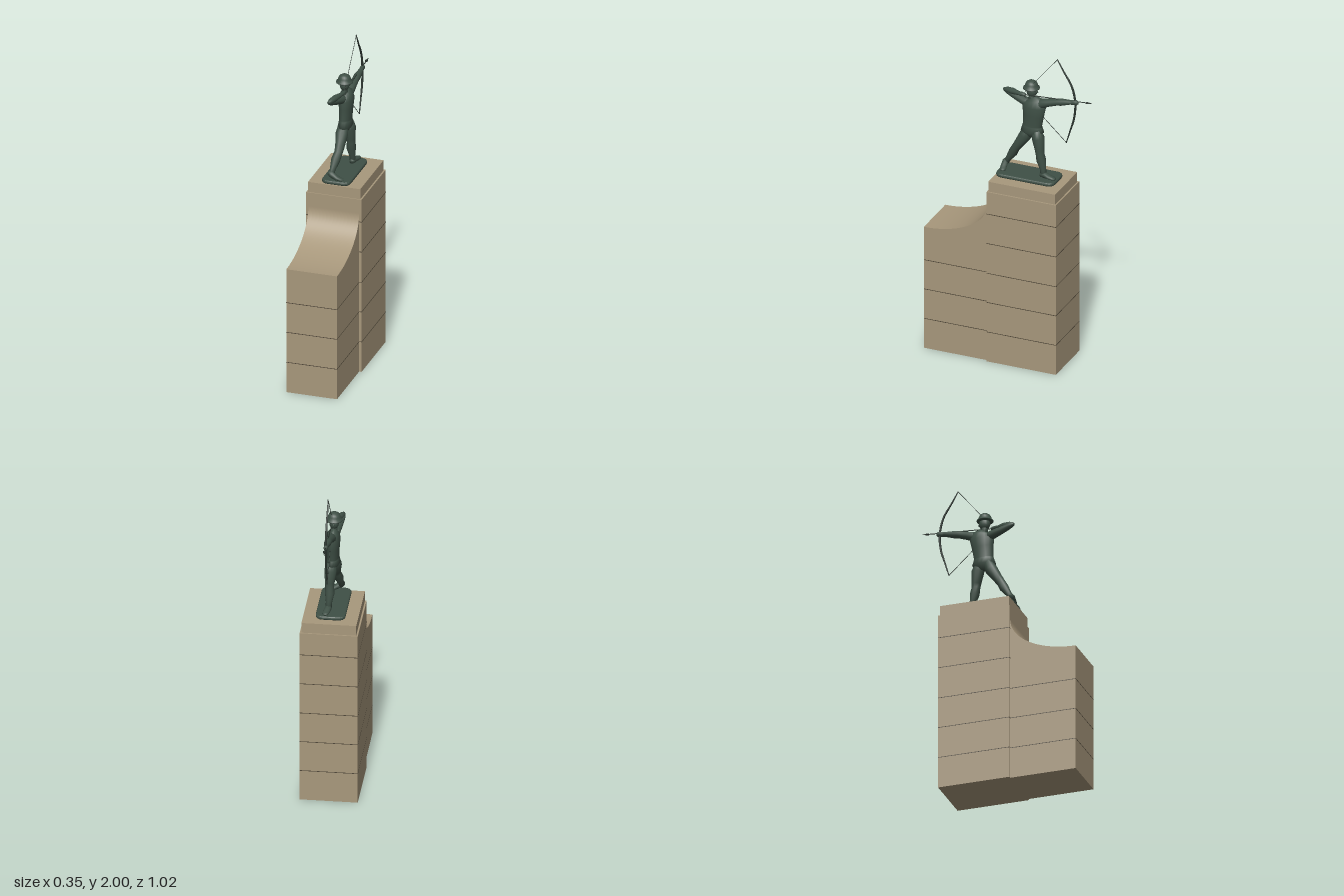
import * as THREE from 'three';

const mat = (name, color, side = THREE.FrontSide) => {
  const m = new THREE.MeshStandardMaterial({ color, side });
  m.name = name;
  return m;
};

// Skin of elliptical rings along a path; each section is [x, y, z, radius, secondRadius]
function loft(sections, ref = [1, 0, 0], sides = 12) {
  const pts = sections.map(s => new THREE.Vector3(s[0], s[1], s[2]));
  const pos = [], idx = [], n = sections.length;
  const refV = new THREE.Vector3(...ref);
  sections.forEach(([, , , r, s = r], i) => {
    const t = pts[Math.min(i + 1, n - 1)].clone().sub(pts[Math.max(i - 1, 0)]).normalize();
    const u = refV.clone().addScaledVector(t, -refV.dot(t)).normalize();
    const v = t.clone().cross(u);
    for (let j = 0; j < sides; j++) {
      const a = j / sides * Math.PI * 2;
      const p = pts[i].clone().addScaledVector(u, r * Math.cos(a)).addScaledVector(v, s * Math.sin(a));
      pos.push(p.x, p.y, p.z);
    }
  });
  pos.push(...pts[0].toArray(), ...pts[n - 1].toArray());
  for (let j = 0; j < sides; j++) {
    const k = (j + 1) % sides, last = (n - 1) * sides;
    for (let i = 0; i < n - 1; i++) {
      const a = i * sides + j, b = i * sides + k;
      idx.push(a, b, b + sides, a, b + sides, a + sides);
    }
    idx.push(n * sides, k, j, n * sides + 1, last + j, last + k);
  }
  const g = new THREE.BufferGeometry();
  g.setAttribute('position', new THREE.Float32BufferAttribute(pos, 3));
  g.setIndex(idx);
  g.computeVertexNormals();
  return g;
}

export function createModel() {
  const root = new THREE.Group();
  const stone = mat('sandstone', 0xa8987c);
  const joint = mat('mortar joint', 0x4e4638);
  const bronze = mat('green bronze', 0x3f5046);
  const dark = mat('dark bronze', 0x2b352f);

  const add = (name, geo, material, parent = root) => {
    const m = new THREE.Mesh(geo, material);
    m.name = name;
    parent.add(m);
    return m;
  };
  // Box given by half width, y range and z range
  const block = (name, hx, y0, y1, z0, z1, material, parent) =>
    add(name, new THREE.BoxGeometry(hx * 2, y1 - y0, z1 - z0), material, parent)
      .position.set(0, (y0 + y1) / 2, (z0 + z1) / 2);

  // Pedestal: tower, cap and a lower block with a concave top
  const pedestal = new THREE.Group();
  pedestal.name = 'pedestal';
  root.add(pedestal);
  block('tower', 0.173, 0, 1.12, -0.347, 0.1, stone, pedestal);
  block('cap', 0.163, 1.12, 1.185, -0.338, 0.093, stone, pedestal);
  const side = new THREE.Shape();
  side.moveTo(-0.51, 0);
  side.lineTo(-0.1, 0);
  side.lineTo(-0.1, 1.03);
  side.absellipse(-0.51, 1.03, 0.41, 0.23, 0, -Math.PI / 2, true);
  side.closePath();
  const buttress = new THREE.ExtrudeGeometry(side, { depth: 0.316, bevelEnabled: false, curveSegments: 32 });
  buttress.translate(0, 0, -0.158).rotateY(Math.PI / 2);
  add('buttress', buttress, stone, pedestal);

  // Thin joints between the stone courses
  [0.195, 0.39, 0.583, 0.78, 0.975].forEach((y, i) => {
    block('towerJoint', 0.1735, y - 0.002, y + 0.002, -0.3475, 0.1005, joint, pedestal);
    if (i < 3) block('buttressJoint', 0.1585, y - 0.002, y + 0.002, 0.09, 0.5105, joint, pedestal);
  });

  // Rounded bronze base
  const hx = 0.078, hz = 0.178, c = 0.035;
  const plan = new THREE.Shape();
  plan.moveTo(-hx + c, -hz);
  plan.lineTo(hx - c, -hz);
  plan.quadraticCurveTo(hx, -hz, hx, -hz + c);
  plan.lineTo(hx, hz - c);
  plan.quadraticCurveTo(hx, hz, hx - c, hz);
  plan.lineTo(-hx + c, hz);
  plan.quadraticCurveTo(-hx, hz, -hx, hz - c);
  plan.lineTo(-hx, -hz + c);
  plan.quadraticCurveTo(-hx, -hz, -hx + c, -hz);
  const baseGeo = new THREE.ExtrudeGeometry(plan, {
    depth: 0.004, bevelThickness: 0.01, bevelSize: 0.011, bevelSegments: 3, curveSegments: 4,
  });
  baseGeo.rotateX(-Math.PI / 2).translate(0, 1.194, -0.1);
  add('figureBase', baseGeo, bronze);

  // Archer, chest towards +x and aiming towards -z
  const archer = new THREE.Group();
  archer.name = 'archer';
  root.add(archer);
  const body = (name, sections, ref, sides) => add(name, loft(sections, ref, sides), bronze, archer);

  body('torso', [
    [0, 1.455, -0.122, 0.018, 0.03], [0, 1.49, -0.12, 0.042, 0.074], [0, 1.525, -0.121, 0.037, 0.063],
    [0, 1.53, -0.121, 0.036, 0.06], [0, 1.6, -0.128, 0.04, 0.066], [0, 1.655, -0.132, 0.045, 0.075],
    [-0.002, 1.69, -0.13, 0.036, 0.064], [-0.004, 1.708, -0.12, 0.02, 0.03],
  ], undefined, 16);
  body('neck', [[-0.004, 1.69, -0.118, 0.022], [-0.005, 1.74, -0.113, 0.019]]);

  // Head and brimmed helmet
  const head = add('head', new THREE.SphereGeometry(1, 14, 10), bronze, archer);
  head.scale.set(0.029, 0.039, 0.034);
  head.position.set(-0.005, 1.752, -0.115);
  body('nose', [[-0.005, 1.764, -0.144, 0.003], [-0.005, 1.747, -0.15, 0.006], [-0.005, 1.743, -0.144, 0.004]]);
  const hat = [[0, 1.769], [0.05, 1.769], [0.05, 1.775], [0.04, 1.782], [0.038, 1.795], [0.031, 1.809], [0.018, 1.818], [0, 1.821]];
  const helmet = add('helmet', new THREE.LatheGeometry(hat.map(p => new THREE.Vector2(...p)), 20), bronze, archer);
  helmet.position.set(-0.005, 0, -0.112);

  // Forward leg and foot
  body('frontLeg', [
    [0.008, 1.5, -0.15, 0.03], [0.01, 1.455, -0.162, 0.038], [0.014, 1.38, -0.174, 0.029], [0.015, 1.355, -0.176, 0.026],
    [0.013, 1.315, -0.183, 0.029], [0.016, 1.26, -0.196, 0.019], [0.018, 1.215, -0.2, 0.018],
  ]);
  body('frontFoot', [
    [0.017, 1.222, -0.18, 0.014, 0.014], [0.018, 1.226, -0.2, 0.02, 0.02],
    [0.025, 1.219, -0.24, 0.021, 0.013], [0.03, 1.216, -0.268, 0.019, 0.01], [0.031, 1.215, -0.28, 0.009, 0.006],
  ]);

  // Trailing leg with lifted heel
  body('rearLeg', [
    [-0.006, 1.505, -0.1, 0.03], [-0.008, 1.45, -0.072, 0.038], [-0.006, 1.385, -0.03, 0.029], [-0.008, 1.355, -0.01, 0.026],
    [-0.018, 1.315, 0.012, 0.028], [-0.026, 1.265, 0.044, 0.018], [-0.028, 1.235, 0.06, 0.016],
  ]);
  body('rearFoot', [
    [-0.044, 1.25, 0.062, 0.012], [-0.028, 1.242, 0.064, 0.02, 0.018], [0.005, 1.222, 0.062, 0.015, 0.02],
    [0.03, 1.213, 0.058, 0.011, 0.019], [0.045, 1.211, 0.055, 0.006, 0.01],
  ], [0, 1, 0]);

  // Bow arm, stretched out, with fist
  body('bowArm', [
    [0, 1.668, -0.15, 0.025], [0.004, 1.685, -0.185, 0.029], [0.007, 1.7, -0.225, 0.025], [0.008, 1.715, -0.28, 0.021],
    [0.009, 1.722, -0.31, 0.022], [0.01, 1.733, -0.37, 0.014], [0.01, 1.736, -0.385, 0.013, 0.016],
    [0.01, 1.739, -0.41, 0.013, 0.017], [0.01, 1.74, -0.42, 0.007, 0.009],
  ]);

  // Drawing arm, bent back to the elbow and forward to the hand
  body('drawUpperArm', [
    [-0.002, 1.665, -0.1, 0.024], [-0.012, 1.672, -0.07, 0.028], [-0.026, 1.688, 0, 0.022],
    [-0.036, 1.703, 0.052, 0.018], [-0.039, 1.71, 0.078, 0.01],
  ]);
  body('drawForearm', [
    [-0.039, 1.711, 0.08, 0.009], [-0.033, 1.713, 0.055, 0.017], [-0.02, 1.717, 0.015, 0.019],
    [-0.001, 1.721, -0.035, 0.012], [0.006, 1.723, -0.055, 0.014], [0.01, 1.724, -0.078, 0.009],
  ]);

  // Bow: tapered curved stave and drawn string
  const bow = new THREE.Group();
  bow.name = 'bow';
  archer.add(bow);
  const curve = new THREE.CatmullRomCurve3([
    [2.0, -0.285], [1.925, -0.328], [1.84, -0.378], [1.738, -0.401], [1.635, -0.394], [1.55, -0.37], [1.46, -0.343],
  ].map(([y, z]) => new THREE.Vector3(0.01, y, z)));
  const stave = curve.getPoints(28).map((p, i) => {
    const r = 0.003 + 0.004 * Math.sin(i / 28 * Math.PI);
    return [p.x, p.y, p.z, r];
  });
  add('bowStave', loft(stave, [1, 0, 0], 8), dark, bow);
  const hand = [0.01, 1.724, -0.062];
  for (const tip of [[0.01, 1.998, -0.286], [0.01, 1.462, -0.343]])
    add('bowString', loft([[...hand, 0.0018], [...tip, 0.0018]], [1, 0, 0], 6), dark, bow);

  // Arrow shaft and head
  add('arrowShaft', loft([[0.01, 1.724, -0.055, 0.003], [0.01, 1.75, -0.48, 0.003]], [1, 0, 0], 8), dark, bow);
  add('arrowHead', loft([[0.01, 1.7495, -0.472, 0.009, 0.007], [0.01, 1.752, -0.51, 0.0005]], [1, 0, 0], 8), dark, bow);

  return root;
}
